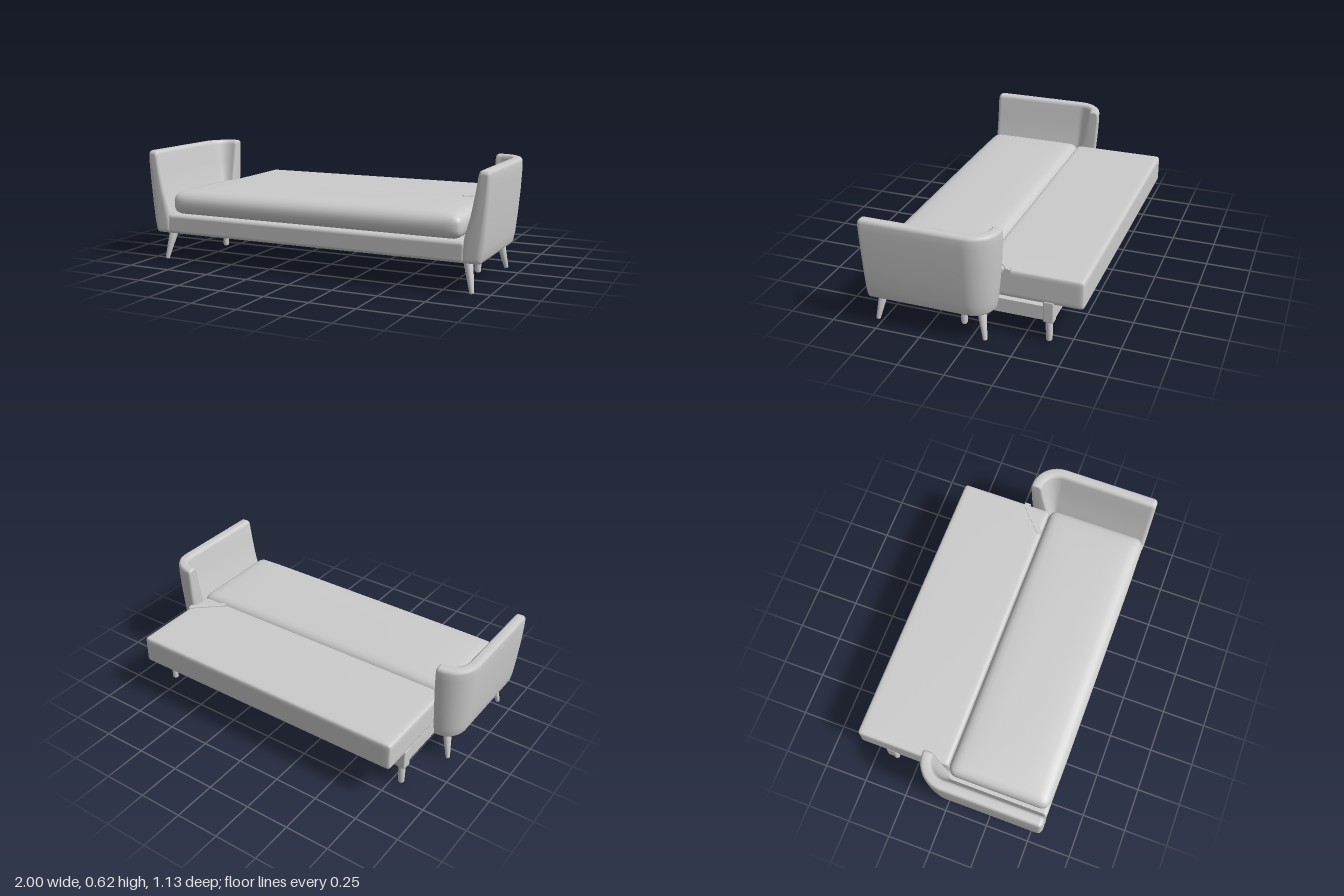
import * as THREE from 'three';
import { mergeVertices } from 'three/addons/utils/BufferGeometryUtils.js';
import { RoundedBoxGeometry } from 'three/addons/geometries/RoundedBoxGeometry.js';

const mat = new THREE.MeshStandardMaterial({ color: 0xcccccc, roughness: 0.8 });

function add(parent, name, geo, x = 0, y = 0, z = 0) {
  const mesh = new THREE.Mesh(geo, mat);
  mesh.name = name;
  mesh.position.set(x, y, z);
  parent.add(mesh);
  return mesh;
}

// Upholstered block with rounded edges and a softly crowned top and front
function pillow(w, h, d, r, crown, bulge) {
  let geo = new THREE.BoxGeometry(2, 2, 2, 28, 14, 22);
  geo.deleteAttribute('uv');
  geo.deleteAttribute('normal');
  geo = mergeVertices(geo, 1e-4);
  const p = geo.attributes.position;
  const half = new THREE.Vector3(w / 2, h / 2, d / 2);
  const v = new THREE.Vector3(), core = new THREE.Vector3();
  const ease = (t) => Math.sin((t * Math.PI) / 2); // packs the grid toward the edges
  for (let i = 0; i < p.count; i++) {
    v.set(ease(p.getX(i)), ease(p.getY(i)), ease(p.getZ(i))).multiply(half);
    core.copy(v).clamp(
      half.clone().subScalar(r).negate(), half.clone().subScalar(r));
    v.sub(core).setLength(r).add(core);
    const fx = 1 - (v.x / half.x) ** 8, fz = 1 - (v.z / half.z) ** 4;
    const fy = 1 - (v.y / half.y) ** 2;
    if (v.y > 0) v.y += crown * fx * fz * (v.y / half.y);
    if (v.z > 0) v.z += bulge * fx * fy * (v.z / half.z);
    p.setXYZ(i, v.x, v.y, v.z);
  }
  geo.computeVertexNormals();
  return geo;
}

// Arm: a wedge section swept back along the side and round the rear corner
function armGeometry(side) {
  // [inset from the outer face, height]
  const section = [
    [0.06, 0.155], [0.046, 0.158], [0.038, 0.17], [0.028, 0.22], [0.017, 0.32],
    [0.006, 0.45], [0, 0.56], [0, 0.6], [0.003, 0.613], [0.013, 0.621],
    [0.045, 0.621], [0.056, 0.615], [0.062, 0.6], [0.078, 0.5], [0.1, 0.39],
    [0.128, 0.29], [0.14, 0.22], [0.14, 0.17], [0.13, 0.155],
  ];
  const R = 0.155, cx = 0.845, cz = 0, front = 0.563, end = 0.828;
  // Stations: position on the outer path, inward direction, edge rounding
  const rings = [];
  for (const [dz, k] of [[0, 0.022], [0.002, 0.015], [0.007, 0.007], [0.014, 0.002], [0.024, 0]])
    rings.push([1, front - dz, -1, 0, k]);
  rings.push([1, 0.3, -1, 0, 0], [1, 0.1, -1, 0, 0]);
  for (let i = 0; i <= 14; i++) {
    const a = (i / 14) * Math.PI / 2, c = Math.cos(a), s = Math.sin(a);
    rings.push([cx + R * c, cz - R * s, -c, s, 0]);
  }
  for (const [dx, k] of [[0.01, 0], [0.003, 0.004], [0, 0.012]])
    rings.push([end + dx, cz - R, 0, 1, k]);

  const pos = [], idx = [], n = section.length;
  const tri = (a, b, c) => (side > 0 ? idx.push(a, b, c) : idx.push(a, c, b));
  const put = ([x, z, nx, nz], d, y) => pos.push(side * (x + nx * d), y, z + nz * d);
  rings.forEach((ring, i) => {
    for (const [d, y] of section) {
      const mid = 0.09 - ((y - 0.155) / 0.466) * 0.06;
      put(ring, mid + (d - mid) * (1 - ring[4] / 0.045), 0.39 + (y - 0.39) * (1 - ring[4] / 0.23));
    }
    if (i === 0) return;
    for (let j = 0; j < n; j++) {
      const k = (j + 1) % n, a = (i - 1) * n, b = i * n;
      tri(a + j, b + j, a + k);
      tri(b + j, b + k, a + k);
    }
  });
  // End faces
  const last = rings.length - 1, c0 = pos.length / 3;
  put(rings[0], 0.06, 0.39);
  put(rings[last], 0.06, 0.39);
  for (let j = 0; j < n; j++) {
    const k = (j + 1) % n;
    tri(c0, j, k);
    tri(c0 + 1, last * n + k, last * n + j);
  }
  const geo = new THREE.BufferGeometry();
  geo.setAttribute('position', new THREE.Float32BufferAttribute(pos, 3));
  geo.setIndex(idx);
  geo.computeVertexNormals();
  return geo;
}

// Tapered round leg running from a top point to a foot point
function leg(parent, name, top, foot, rTop, rFoot) {
  const dir = new THREE.Vector3().subVectors(top, foot);
  const len = dir.length();
  const profile = [[0, 0], [rFoot * 0.75, 0], [rFoot, 0.006], [rTop, len], [0, len]]
    .map(([r, y]) => new THREE.Vector2(r, y));
  const mesh = add(parent, name, new THREE.LatheGeometry(profile, 20), foot.x, foot.y, foot.z);
  mesh.quaternion.setFromUnitVectors(new THREE.Vector3(0, 1, 0), dir.normalize());
}

export function createModel() {
  const model = new THREE.Group();
  model.name = 'sofaBed';
  const V = (x, y, z) => new THREE.Vector3(x, y, z);

  // Seat base: front rail and the panel under the cushion, open below
  add(model, 'seatRail', new RoundedBoxGeometry(1.76, 0.11, 0.06, 4, 0.02), 0, 0.21, 0.53);
  add(model, 'seatPanel', new THREE.BoxGeometry(1.74, 0.035, 0.55), 0, 0.2475, 0.245);
  add(model, 'seatCushion', pillow(1.71, 0.125, 0.585, 0.05, 0.016, 0.01), 0, 0.3275, 0.2625);

  // Folded-down backrest with its corner strap
  add(model, 'foldedBackrest', pillow(1.655, 0.162, 0.54, 0.02, 0.001, 0), 0, 0.305, -0.3);
  const strap = add(model, 'pullStrap', new THREE.BoxGeometry(0.21, 0.008, 0.03), 0.745, 0.3865, -0.108);
  strap.rotation.y = Math.atan2(0.15, 0.165);
  add(model, 'strapTab', new THREE.BoxGeometry(0.008, 0.034, 0.036), 0.827, 0.371, -0.17);

  // Pull-out frame
  add(model, 'pulloutFrame', new THREE.BoxGeometry(1.62, 0.08, 0.5), 0, 0.16, -0.15);
  add(model, 'frontRail', new THREE.BoxGeometry(1.66, 0.04, 0.05), 0, 0.14, 0.088);
  add(model, 'rearRail', new THREE.BoxGeometry(1.62, 0.108, 0.035), 0, 0.174, -0.39);

  for (const side of [1, -1]) {
    const half = new THREE.Group();
    half.name = side > 0 ? 'leftSide' : 'rightSide';
    model.add(half);
    add(half, 'arm', armGeometry(side));
    leg(half, 'frontLeg', V(side * 0.878, 0.17, 0.498), V(side * 0.912, 0, 0.53), 0.026, 0.012);
    leg(half, 'backLeg', V(side * 0.878, 0.17, -0.048), V(side * 0.912, 0, -0.078), 0.026, 0.012);
    // Frame posts and straight legs
    add(half, 'frontPost', new RoundedBoxGeometry(0.05, 0.05, 0.055, 2, 0.006), side * 0.805, 0.143, 0.087);
    add(half, 'backPost', new RoundedBoxGeometry(0.05, 0.122, 0.057, 2, 0.008), side * 0.805, 0.179, -0.386);
    for (const z of [0.084, -0.384])
      leg(half, 'frameLeg', V(side * 0.8, 0.13, z), V(side * 0.8, 0, z), 0.02, 0.017);
  }
  return model;
}
